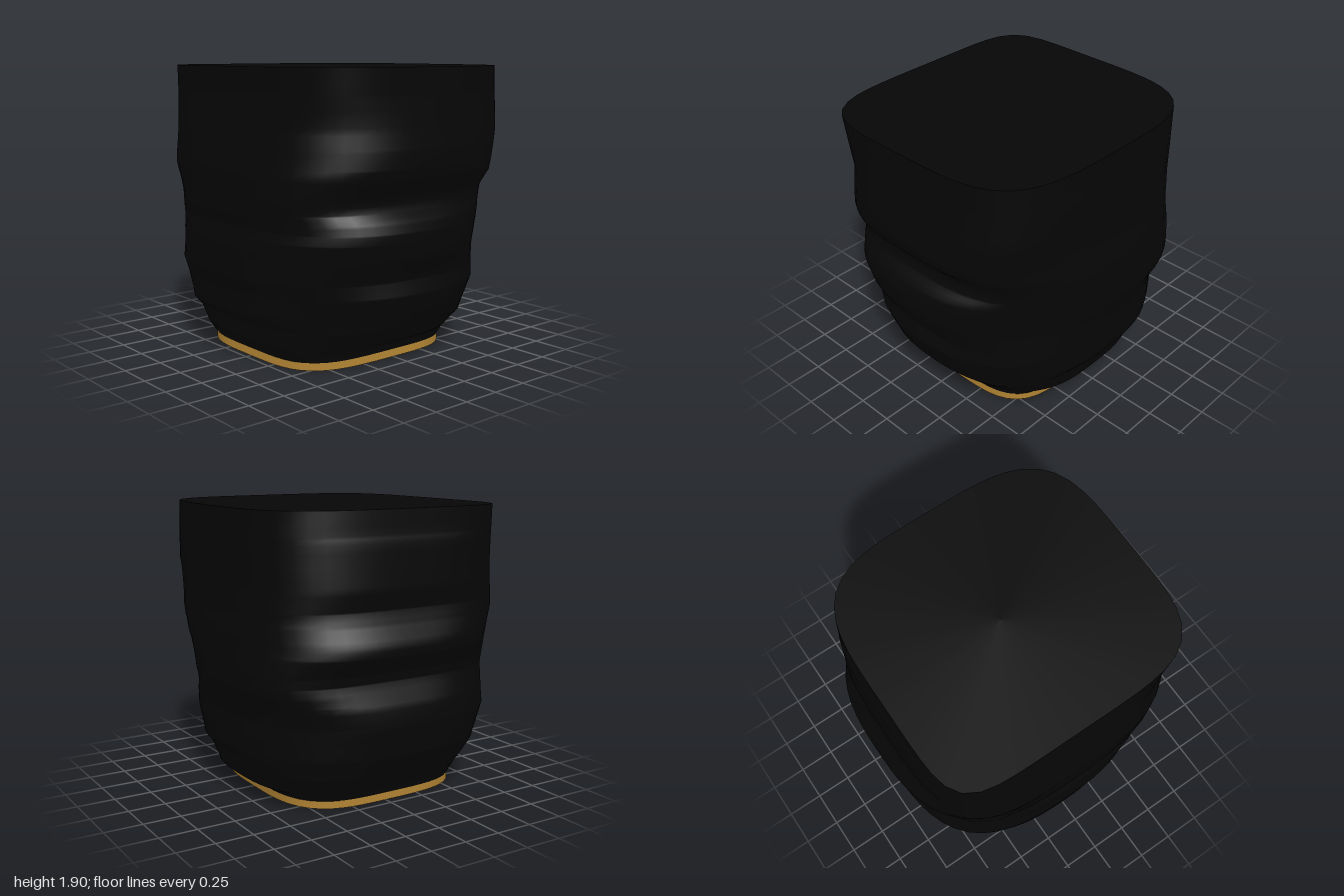
import * as THREE from 'three';

// Side profiles as [height, reach] pairs from bottom to top
const LEFT = [[0, .61], [.05, .61], [.09, .66], [.12, .735], [.24, .76], [.32, .835], [.48, .85], [.58, .845], [.68, .86],
  [.77, .895], [.95, .905], [1.13, .905], [1.25, .885], [1.45, .87], [1.65, .875], [1.8, .865], [1.9, .865]];
const RIGHT = [[0, .71], [.05, .70], [.15, .80], [.26, .81], [.32, .88], [.47, .88], [.58, .91], [.8, .91], [.9, .875],
  [1, .9], [1.25, .91], [1.5, .885], [1.73, .845], [1.9, .84]];
const FRONT = [[0, .615], [.05, .61], [.1, .63], [.14, .70], [.2, .74], [.27, .825], [.38, .88], [.49, .92], [.59, .89],
  [.73, .965], [.8, .98], [.9, .98], [.97, .955], [1.03, .885], [1.07, .87], [1.13, .885], [1.22, .97], [1.3, 1],
  [1.4, 1], [1.5, .985], [1.73, .955], [1.9, .95]];
const BACK = [[0, .69], [.05, .69], [.1, .715], [.16, .79], [.37, .925], [.56, .955], [.68, .95], [.84, .87], [.91, .885],
  [1.02, .99], [1.07, 1], [1.13, .98], [1.2, .935], [1.29, .9], [1.42, .92], [1.7, .9], [1.75, .885], [1.9, .87]];

// Corner profiles: reach along each diagonal
const FRONT_LEFT = [[0, .725], [.05, .725], [.13, .78], [.25, .87], [.5, .95], [.72, .945], [1.1, 1], [1.22, 1.055],
  [1.5, 1.09], [1.9, 1.075]];
const FRONT_RIGHT = [[0, .78], [.05, .78], [.25, .87], [.48, .94], [.85, 1.035], [1.03, 1.02], [1.25, 1.065],
  [1.55, 1.04], [1.9, 1.09]];
const BACK_LEFT = [[0, .75], [.05, .75], [.12, .83], [.24, .93], [.38, .965], [.58, .975], [.8, 1.045], [1.02, 1.055],
  [1.25, 1.02], [1.9, 1.017]];
const BACK_RIGHT = [[0, .825], [.05, .825], [.2, .91], [.32, .985], [.58, 1.055], [.84, 1.03], [1.25, 1.09],
  [1.5, 1.077], [1.9, 1.085]];

const PROFILES = [LEFT, RIGHT, FRONT, BACK, FRONT_LEFT, FRONT_RIGHT, BACK_LEFT, BACK_RIGHT];
const SEGMENTS = 64;

function reach(profile, y) {
  for (let i = 1; i < profile.length; i++) {
    const [y0, r0] = profile[i - 1], [y1, r1] = profile[i];
    if (y <= y1) return r0 + (r1 - r0) * (y - y0) / (y1 - y0);
  }
  return profile[profile.length - 1][1];
}

// Rounded-square cross-section; each quadrant's roundness follows its corner profile
function ring(y) {
  const points = [];
  for (let i = 0; i < SEGMENTS; i++) {
    const a = i / SEGMENTS * Math.PI * 2, c = Math.cos(a), s = Math.sin(a);
    const rx = reach(c > 0 ? LEFT : RIGHT, y), rz = reach(s > 0 ? FRONT : BACK, y);
    const corner = s > 0 ? (c > 0 ? FRONT_LEFT : FRONT_RIGHT) : (c > 0 ? BACK_LEFT : BACK_RIGHT);
    const n = Math.LN2 / Math.log((rx + rz) / (Math.SQRT2 * reach(corner, y)));
    const k = Math.pow(Math.abs(c) ** n + Math.abs(s) ** n, -1 / n);
    points.push([c * k * rx, y, s * k * rz]);
  }
  return points;
}

// Wall through a stack of rings
function wall(heights) {
  const index = [];
  for (let j = 0; j < heights.length - 1; j++) {
    for (let i = 0; i < SEGMENTS; i++) {
      const n = (i + 1) % SEGMENTS;
      const a = j * SEGMENTS + i, b = j * SEGMENTS + n, c = a + SEGMENTS, d = b + SEGMENTS;
      index.push(a, c, b, b, c, d);
    }
  }
  return build(heights.flatMap(ring), index);
}

// Flat fan closing one end
function cap(y, up) {
  const index = [];
  for (let i = 0; i < SEGMENTS; i++) {
    const n = (i + 1) % SEGMENTS;
    index.push(SEGMENTS, up ? n : i, up ? i : n);
  }
  return build([...ring(y), [0, y, 0]], index);
}

function build(points, index) {
  const geometry = new THREE.BufferGeometry();
  geometry.setAttribute('position', new THREE.Float32BufferAttribute(points.flat(), 3));
  geometry.setIndex(index);
  geometry.computeVertexNormals();
  return geometry;
}

export function createModel() {
  const black = new THREE.MeshStandardMaterial({ color: 0x060606 });
  black.name = 'black cloth';
  const gold = new THREE.MeshStandardMaterial({ color: 0xb28433 });
  gold.name = 'gold trim';

  const model = new THREE.Group();
  model.name = 'gatheredSleeve';
  const add = (name, geometry, material) => {
    const mesh = new THREE.Mesh(geometry, material);
    mesh.name = name;
    model.add(mesh);
  };

  // Folded cloth: a ring at every profile height
  const heights = [...new Set(PROFILES.flat().map(p => p[0]))]
    .filter(y => y >= 0.05).sort((a, b) => a - b);
  add('foldedCloth', wall(heights), black);
  add('topCap', cap(1.9, true), black);

  // Hem band and underside
  add('hemBand', wall([0, 0.05]), gold);
  add('bottomCap', cap(0, false), black);
  return model;
}
